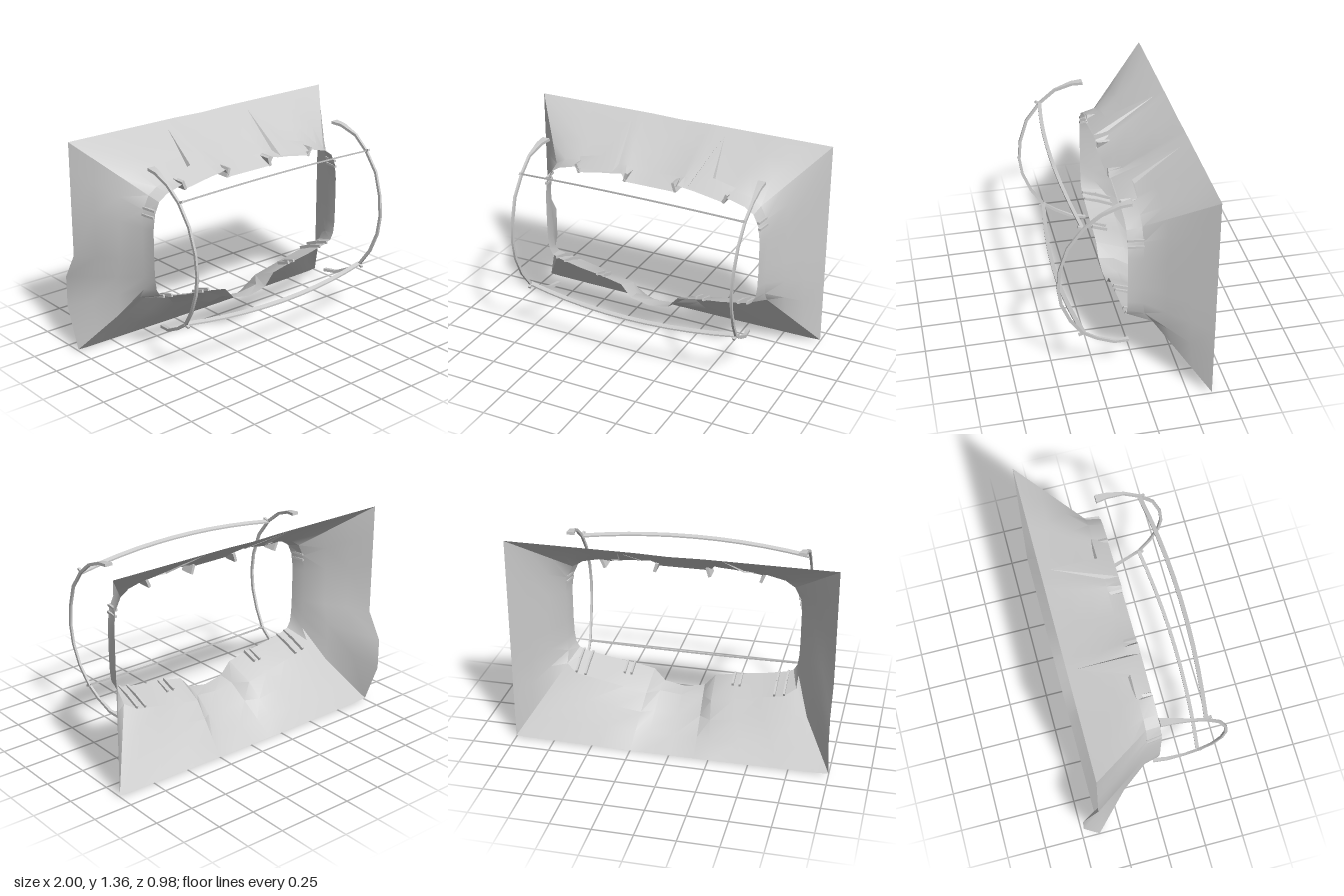
import * as THREE from 'three';
import { toCreasedNormals } from 'three/addons/utils/BufferGeometryUtils.js';

const material = new THREE.MeshStandardMaterial({ color: 0xcccccc, side: THREE.DoubleSide });
const V = (x, y, z) => new THREE.Vector3(x, y, z);

function addMesh(parent, geometry, name) {
  const mesh = new THREE.Mesh(geometry, material);
  mesh.name = name;
  parent.add(mesh);
  return mesh;
}

// Skin a series of closed rings; optionally cap both ends
function loft(rings, crease, capped) {
  const n = rings[0].length, index = [];
  for (let r = 0; r < rings.length - 1; r++) {
    for (let i = 0; i < n; i++) {
      const a = r * n + i, b = r * n + (i + 1) % n;
      index.push(a, b, a + n, b, b + n, a + n);
    }
  }
  if (capped) {
    const e = (rings.length - 1) * n;
    for (let i = 1; i < n - 1; i++) index.push(0, i + 1, i, e, e + i, e + i + 1);
  }
  const g = new THREE.BufferGeometry().setFromPoints(rings.flat());
  g.setIndex(index);
  return toCreasedNormals(g, crease);
}

// Half outline, top centre to bottom centre:
// rim x, y | bend x, y, z | outer edge x, y
const outline = [
  [0, 1.08, 0, 1.14, -0.02, 0, 1.352],
  [0.16, 1.08, 0.17, 1.14, -0.02, 0.2, 1.357],
  [0.19, 1.13, 0.2, 1.15, -0.02, 0.25, 1.357],
  [0.23, 1.12, 0.24, 1.145, -0.02, 0.32, 1.357],
  [0.31, 1.11, 0.33, 1.14, -0.02, 0.42, 1.357],
  [0.48, 1.08, 0.49, 1.125, -0.02, 0.62, 1.357],
  [0.52, 1.11, 0.53, 1.125, -0.02, 0.68, 1.357],
  [0.63, 1.08, 0.64, 1.1, -0.02, 0.86, 1.357],
  [0.69, 1.04, 0.7, 1.06, -0.02, 1, 1.357],
  [0.722, 0.97, 0.74, 0.98, -0.02, 1, 1.18],
  [0.735, 0.87, 0.75, 0.87, -0.02, 1, 0.95],
  [0.735, 0.66, 0.75, 0.66, -0.02, 1, 0.64],
  [0.732, 0.56, 0.75, 0.55, -0.02, 1, 0.47],
  [0.723, 0.49, 0.745, 0.47, -0.03, 1, 0.27],
  [0.70, 0.45, 0.74, 0.40, -0.08, 1, 0.01],
  [0.65, 0.43, 0.67, 0.36, -0.12, 0.92, 0.006],
  [0.5, 0.40, 0.51, 0.33, -0.12, 0.7, 0.004],
  [0.35, 0.38, 0.36, 0.30, -0.12, 0.45, 0.002],
  [0.2, 0.35, 0.21, 0.27, -0.12, 0.25, 0],
  [0.13, 0.27, 0.14, 0.25, -0.03, 0.16, 0],
  [0, 0.245, 0, 0.235, -0.03, 0, 0],
];

// Flared panel with a rounded opening; the right edge carries a rear flap
function buildShroud(group) {
  const rim = [], bend = [], outer = [];
  const addColumn = ([rx, ry, bx, by, bz, ox, oy], s) => {
    const flap = s < 0 && ox === 1 && (oy === 0.47 || oy === 0.27);
    rim.push(V(s * rx, ry, 0.07));
    bend.push(V(s * bx, by, bz));
    outer.push(V(s * ox, oy, flap ? -0.49 : -0.39));
  };
  outline.forEach(c => addColumn(c, 1));
  outline.slice(1, -1).reverse().forEach(c => addColumn(c, -1));
  const between = t => bend.map((p, i) => p.clone().lerp(outer[i], t));
  addMesh(group, loft([rim, bend, between(0.33), between(0.67), outer], 0.5, false), 'flaredShroud');
}

// Shallow folded ridge on the top panel
function buildRidge(group, s) {
  const pts = [
    V(0.32, 1.325, -0.335), V(0.255, 1.125, 0.068), V(0.38, 1.175, -0.03),
    V(0.53, 1.14, -0.03), V(0.50, 1.105, 0.068), V(0.25, 1.14, -0.02), V(0.39, 1.14, -0.05),
  ];
  pts.forEach(p => { p.x *= s; });
  const g = new THREE.BufferGeometry().setFromPoints(pts);
  g.setIndex([0, 1, 2, 1, 4, 2, 2, 4, 3, 0, 5, 1, 0, 2, 6, 6, 2, 3]);
  addMesh(group, toCreasedNormals(g, 0.3), 'topRidge');
}

// Straight rectangular rod between two points
function rod(group, a, b, w, h, name) {
  const mesh = addMesh(group, new THREE.BoxGeometry(w, h, a.distanceTo(b)), name);
  mesh.position.copy(a).add(b).multiplyScalar(0.5);
  mesh.lookAt(b);
  return mesh;
}

// Curved side hoop with flattened feet: x, y, z, width
const hoopPath = [
  [0.727, 1.25, 0.05, 0.05], [0.735, 1.243, 0.12, 0.035], [0.745, 1.20, 0.23, 0.016],
  [0.742, 1.12, 0.33, 0.014], [0.742, 1.0, 0.42, 0.014], [0.738, 0.85, 0.468, 0.014],
  [0.735, 0.72, 0.48, 0.014], [0.732, 0.6, 0.463, 0.014], [0.725, 0.47, 0.41, 0.014],
  [0.712, 0.36, 0.335, 0.014], [0.705, 0.30, 0.25, 0.014], [0.69, 0.245, 0.14, 0.02],
  [0.675, 0.235, 0.05, 0.026],
];

function buildHoop(group, s) {
  const rings = hoopPath.map(([x, y, z, w], i) => {
    const a = hoopPath[Math.max(i - 1, 0)], b = hoopPath[Math.min(i + 1, hoopPath.length - 1)];
    const n = V(0, a[2] - b[2], b[1] - a[1]).normalize().multiplyScalar(0.009);
    const p = V(s * x, y, z), dx = V(w / 2, 0, 0);
    return [
      p.clone().add(dx).add(n), p.clone().sub(dx).add(n),
      p.clone().sub(dx).sub(n), p.clone().add(dx).sub(n),
    ];
  });
  addMesh(group, loft(rings, 0.6, true), 'sideHoop');
}

// Bowed cross bar joining the hoops
function buildCrossBar(group, yEnd, yMid, halfWidth, name) {
  const rings = [];
  for (let i = 0; i <= 10; i++) {
    const u = i / 5 - 1, k = 1 - u * u;
    const x = u * halfWidth, y = yEnd + (yMid - yEnd) * k, z = 0.33 + 0.055 * k;
    const tilt = Math.sign(yMid - yEnd) * 0.005;
    rings.push([
      V(x, y + 0.005 + tilt, z + 0.012), V(x, y + 0.005 - tilt, z - 0.012),
      V(x, y - 0.005 - tilt, z - 0.012), V(x, y - 0.005 + tilt, z + 0.012),
    ]);
  }
  addMesh(group, loft(rings, 0.6, true), name);
}

export function createModel() {
  const group = new THREE.Group();
  group.name = 'shroudWithGuardFrame';
  buildShroud(group);

  for (const s of [1, -1]) {
    buildRidge(group, s);
    buildHoop(group, s);

    // Clips hanging from the top lip
    for (const [x, y, lean] of [[0.5, 1.1, -0.4], [0.165, 1.105, 0.3]]) {
      const clip = addMesh(group, new THREE.BoxGeometry(0.018, 0.06, 0.09), 'topClip');
      clip.position.set(s * x, y, 0.022);
      clip.rotation.z = s * lean;
    }
    // Ribs on the side and bottom lips
    for (const y of [0.95, 0.99]) {
      const x = y > 0.97 ? 0.722 : 0.73;
      rod(group, V(s * x, y, 0.07), V(s * (x + 0.012), y, -0.025), 0.016, 0.014, 'sideRib');
    }
    for (const [x, y] of [[0.61, 0.425], [0.67, 0.437]]) {
      rod(group, V(s * x, y, 0.07), V(s * x, y - 0.025, -0.02), 0.012, 0.02, 'longRib');
      rod(group, V(s * x, y - 0.025, -0.02), V(s * x, y - 0.068, -0.12), 0.012, 0.02, 'longRib');
    }
    for (const x of [0.33, 0.375]) {
      rod(group, V(s * x, 0.385, 0.07), V(s * x, 0.35, -0.03), 0.012, 0.02, 'shortRib');
    }
    // Small tabs where the bars meet the hoops
    rod(group, V(s * 0.738, 1.12, 0.325), V(s * 0.735, 1.135, 0.36), 0.016, 0.014, 'upperBarTab');
    rod(group, V(s * 0.712, 0.36, 0.325), V(s * 0.708, 0.345, 0.36), 0.016, 0.014, 'lowerBarTab');
  }
  buildCrossBar(group, 1.12, 1.158, 0.738, 'upperCrossBar');
  buildCrossBar(group, 0.36, 0.322, 0.712, 'lowerCrossBar');
  return group;
}
